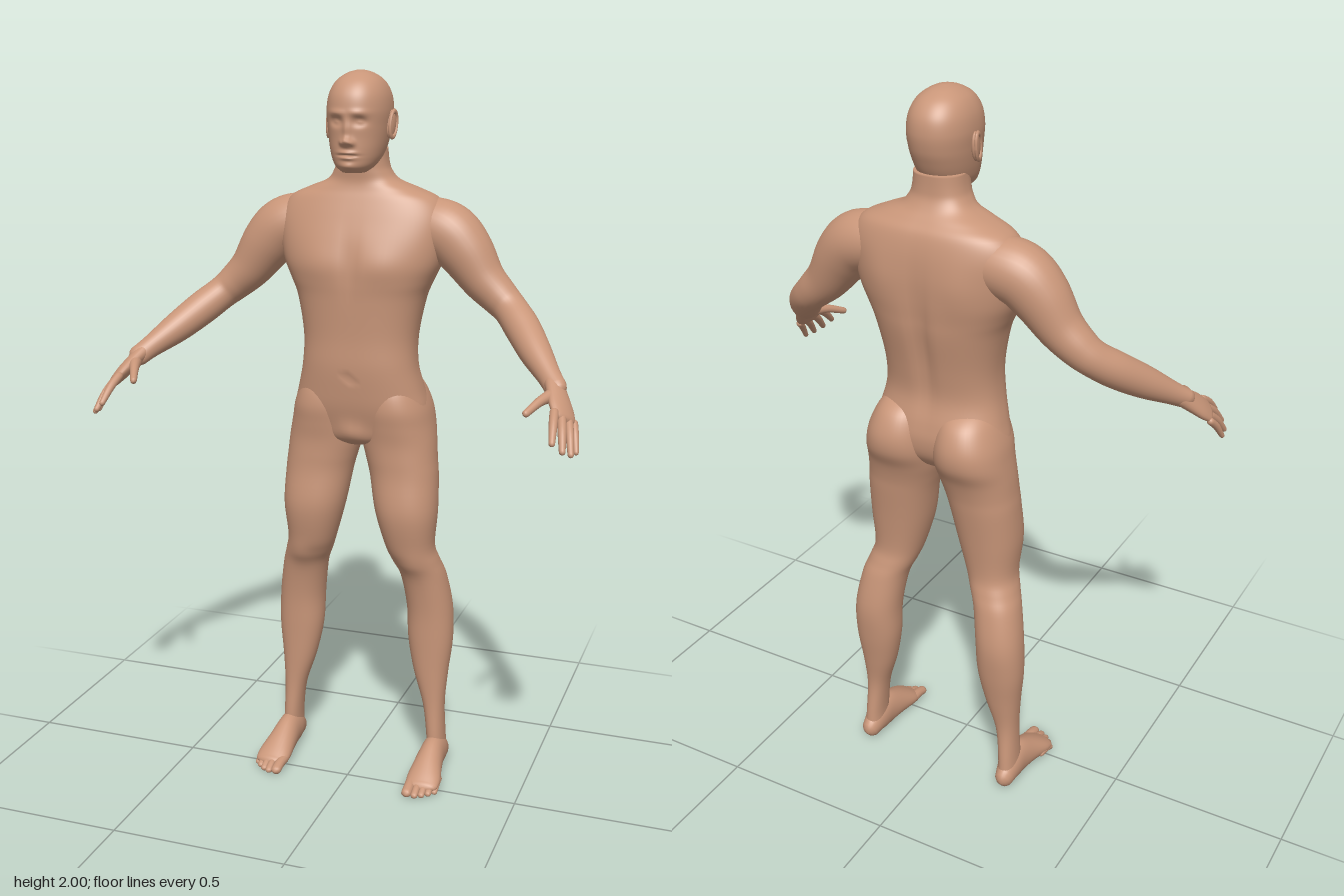
import * as THREE from 'three';

const skin = new THREE.MeshStandardMaterial({ color: 0xc99679 });
skin.name = 'skin';

// Catmull-Rom interpolation of whole rows of numbers
function refine(rows, steps) {
  const out = [], last = rows.length - 1;
  const at = i => rows[Math.min(last, Math.max(0, i))];
  for (let i = 0; i < last; i++) {
    for (let k = 0; k < steps; k++) {
      const t = k / steps, [a, b, c, d] = [at(i - 1), at(i), at(i + 1), at(i + 2)];
      out.push(b.map((v, j) => v + 0.5 * t * (c[j] - a[j] + t * (2 * a[j] - 5 * v + 4 * c[j] - d[j]
        + t * (3 * (v - c[j]) + d[j] - a[j])))));
    }
  }
  out.push(rows[last]);
  return out;
}

// Closed skin over rings of equal point count, with both ends pulled to a point
function skinRings(rings) {
  const n = rings[0].length, pos = [], idx = [];
  const middle = r => {
    const m = new THREE.Vector3();
    r.forEach(p => m.addScaledVector(p, 1 / n));
    return r.map(() => m);
  };
  const all = [middle(rings[0]), ...rings, middle(rings[rings.length - 1])];
  all.forEach(r => r.forEach(p => pos.push(p.x, p.y, p.z)));
  for (let i = 0; i < all.length - 1; i++) {
    for (let j = 0; j < n; j++) {
      const a = i * n + j, b = i * n + (j + 1) % n;
      if (i > 0) idx.push(a, b, a + n);
      if (i < all.length - 2) idx.push(b, b + n, a + n);
      else if (i === 0) idx.push(b, b + n, a + n);
    }
  }
  const g = new THREE.BufferGeometry();
  g.setAttribute('position', new THREE.Float32BufferAttribute(pos, 3));
  g.setIndex(idx);
  g.computeVertexNormals();
  return g;
}

// Level slices from top to bottom: [y, centre x, half width, front z, back z]
// Bumps: [x, y, spread x, spread y, height, side], side 1 = front, -1 = back
function column(slices, { n = 48, steps = 5, power = 2.2, bumps = [] } = {}) {
  const bend = v => Math.sign(v) * Math.pow(Math.abs(v), 2 / power);
  return skinRings(refine(slices, steps).map(([y, cx, rx, zf, zb]) =>
    Array.from({ length: n }, (_, j) => {
      const t = j / n * Math.PI * 2, s = Math.sin(t);
      const x = cx + rx * bend(Math.cos(t));
      let z = (zf + zb) / 2 + (zf - zb) / 2 * bend(s);
      for (const [bx, by, sx, sy, h, side] of bumps) {
        const w = Math.sqrt(Math.max(0, s * side));
        z += side * h * w * Math.exp(-(((Math.abs(x) - bx) / sx) ** 2) - ((y - by) / sy) ** 2);
      }
      return new THREE.Vector3(x, y, z);
    })));
}

// Rounded limb along a path: [x, y, z, half width along side, half thickness]
function sweep(points, side, { n = 20, steps = 4, floor = -1 } = {}) {
  const rows = refine(points, steps), P = rows.map(r => new THREE.Vector3(r[0], r[1], r[2]));
  const rings = [];
  const ring = (i, shift, scale) => {
    const T = P[Math.min(P.length - 1, i + 1)].clone().sub(P[Math.max(0, i - 1)]).normalize();
    const N = side.clone().addScaledVector(T, -side.dot(T)).normalize();
    const B = T.clone().cross(N), [, , , a, b] = rows[i];
    rings.push(Array.from({ length: n }, (_, j) => {
      const t = j / n * Math.PI * 2;
      const p = P[i].clone().addScaledVector(T, shift * Math.min(a, b))
        .addScaledVector(N, Math.cos(t) * a * scale).addScaledVector(B, Math.sin(t) * b * scale);
      p.y = Math.max(p.y, floor);
      return p;
    }));
  };
  const caps = [80, 55, 28].map(d => d * Math.PI / 180);
  caps.forEach(c => ring(0, -Math.sin(c), Math.cos(c)));
  rows.forEach((_, i) => ring(i, 0, 1));
  caps.reverse().forEach(c => ring(rows.length - 1, Math.sin(c), Math.cos(c)));
  return skinRings(rings);
}

function mirrored(geometry) {
  const g = geometry.clone().scale(-1, 1, 1), a = g.index.array;
  for (let i = 0; i < a.length; i += 3) [a[i], a[i + 1]] = [a[i + 1], a[i]];
  g.computeVertexNormals();
  return g;
}

export function createModel() {
  const model = new THREE.Group();
  model.name = 'figure';
  const add = (name, g) => {
    const m = new THREE.Mesh(g, skin);
    m.name = name;
    model.add(m);
  };
  const pair = (name, g) => {
    add('left' + name, g);
    add('right' + name, mirrored(g));
  };
  const V = (x, y, z) => new THREE.Vector3(x, y, z);

  // Head with modelled face
  add('head', column([
    [2.0, 0, 0.008, -0.095, -0.115], [1.992, 0, 0.034, -0.06, -0.15], [1.972, 0, 0.061, -0.024, -0.186],
    [1.94, 0, 0.078, 0, -0.21], [1.9, 0, 0.084, 0.008, -0.217], [1.86, 0, 0.081, 0.006, -0.211],
    [1.83, 0, 0.077, 0.004, -0.2], [1.8, 0, 0.071, 0.004, -0.185], [1.775, 0, 0.063, 0.002, -0.165],
    [1.755, 0, 0.05, -0.003, -0.13], [1.74, 0, 0.03, -0.02, -0.09],
  ], {
    n: 112, steps: 9, bumps: [
      [0, 1.822, 0.013, 0.012, 0.018, 1], [0, 1.85, 0.01, 0.025, 0.009, 1], // nose
      [0.014, 1.818, 0.007, 0.007, 0.008, 1],
      [0.032, 1.872, 0.017, 0.011, -0.013, 1], [0.032, 1.871, 0.01, 0.006, 0.007, 1], // eyes
      [0.03, 1.894, 0.025, 0.008, 0.005, 1],
      [0, 1.793, 0.022, 0.005, 0.007, 1], [0, 1.779, 0.019, 0.005, 0.006, 1], // lips
      [0, 1.786, 0.024, 0.0025, -0.006, 1], [0, 1.757, 0.02, 0.011, 0.007, 1],
    ],
  }));

  // Ears
  const ear = new THREE.SphereGeometry(1, 20, 14).scale(0.009, 0.038, 0.022);
  const rim = new THREE.TorusGeometry(0.024, 0.005, 8, 24).scale(0.75, 1.4, 1).rotateY(Math.PI / 2).translate(0.006, 0, 0);
  for (const [name, g] of [['Ear', ear], ['EarRim', rim]]) {
    pair(name, g.rotateX(-0.2).rotateY(-0.2).translate(0.084, 1.862, -0.108));
  }

  // Neck, chest, waist and hips
  add('torso', column([
    [1.8, 0, 0.066, -0.06, -0.19], [1.765, 0, 0.07, -0.062, -0.19], [1.74, 0, 0.078, -0.064, -0.193],
    [1.715, 0, 0.1, -0.066, -0.206], [1.693, 0, 0.155, -0.062, -0.224], [1.667, 0, 0.208, -0.052, -0.243],
    [1.62, 0, 0.234, -0.034, -0.255], [1.56, 0, 0.232, -0.013, -0.26], [1.5, 0, 0.22, -0.001, -0.259],
    [1.45, 0, 0.198, 0.002, -0.255], [1.4, 0, 0.178, 0, -0.249], [1.3, 0, 0.16, -0.005, -0.228],
    [1.22, 0, 0.162, -0.005, -0.218], [1.15, 0, 0.178, -0.012, -0.232], [1.1, 0, 0.191, -0.02, -0.237],
    [1.05, 0, 0.19, -0.034, -0.225], [1.01, 0, 0.12, -0.045, -0.19], [0.99, 0, 0.04, -0.07, -0.15],
  ], {
    n: 80, power: 2.4, bumps: [
      [0.085, 1.5, 0.065, 0.05, 0.008, 1], [0, 1.5, 0.016, 0.08, -0.006, 1], // chest
      [0, 1.19, 0.008, 0.008, -0.008, 1], [0, 1.03, 0.035, 0.03, 0.012, 1],
      [0, 1.38, 0.024, 0.17, -0.016, -1], [0.11, 1.54, 0.05, 0.07, 0.006, -1], // back
    ],
  }));

  // Legs with buttocks, knees and calves
  pair('Leg', column([
    [1.2, 0.09, 0.04, -0.09, -0.17], [1.18, 0.092, 0.062, -0.05, -0.215], [1.15, 0.095, 0.079, -0.03, -0.246],
    [1.1, 0.1, 0.094, -0.022, -0.265], [1.05, 0.103, 0.101, -0.028, -0.262], [1.0, 0.108, 0.104, -0.035, -0.238],
    [0.95, 0.117, 0.1, -0.036, -0.223], [0.9, 0.126, 0.096, -0.035, -0.215], [0.8, 0.137, 0.088, -0.026, -0.2],
    [0.7, 0.147, 0.07, -0.045, -0.19], [0.65, 0.162, 0.067, -0.063, -0.2], [0.6, 0.18, 0.065, -0.083, -0.215],
    [0.5, 0.196, 0.066, -0.1, -0.23], [0.4, 0.2, 0.065, -0.105, -0.222], [0.3, 0.205, 0.05, -0.108, -0.205],
    [0.2, 0.217, 0.031, -0.11, -0.19], [0.1, 0.225, 0.026, -0.106, -0.196], [0.04, 0.227, 0.028, -0.11, -0.2],
  ], { bumps: [[0.165, 0.645, 0.03, 0.035, 0.006, 1]] }));

  // Feet and toes
  pair('Foot', sweep([
    [0.228, 0.036, -0.185, 0.027, 0.034], [0.227, 0.05, -0.15, 0.033, 0.05], [0.227, 0.053, -0.11, 0.035, 0.054],
    [0.228, 0.043, -0.06, 0.041, 0.043], [0.231, 0.027, -0.005, 0.049, 0.028], [0.233, 0.019, 0.025, 0.046, 0.017],
  ], V(1, 0, 0), { n: 28, floor: 0 }));
  [[0.2, 0.064, 0.015], [0.223, 0.065, 0.0105], [0.241, 0.056, 0.01], [0.257, 0.042, 0.01], [0.271, 0.026, 0.0095]]
    .forEach(([x, z, r], i) => pair('Toe' + (i + 1), sweep([
      [x - 0.002, 0.022, z - 0.055, r, r], [x, 0.019, z - 0.025, r, r * 0.9], [x, r * 0.85, z, r, r * 0.85],
    ], V(1, 0, 0), { n: 12, floor: 0 })));

  // Arms from shoulder to wrist
  pair('Arm', sweep([
    [0.12, 1.6, -0.16, 0.07, 0.07], [0.19, 1.592, -0.154, 0.08, 0.078], [0.24, 1.575, -0.149, 0.081, 0.079],
    [0.285, 1.53, -0.144, 0.075, 0.073], [0.335, 1.462, -0.139, 0.06, 0.06], [0.382, 1.417, -0.133, 0.051, 0.052],
    [0.418, 1.386, -0.118, 0.046, 0.047], [0.46, 1.348, -0.075, 0.047, 0.047], [0.51, 1.3, -0.01, 0.042, 0.042],
    [0.56, 1.255, 0.053, 0.031, 0.03], [0.585, 1.232, 0.085, 0.029, 0.024],
  ], V(0.7, 0.7, -0.2), { n: 32, steps: 6 }));

  // Hands: palm, four fingers and thumb
  const across = V(-0.045, 0.035, 0.05);
  pair('Palm', sweep([
    [0.575, 1.243, 0.07, 0.027, 0.022], [0.592, 1.22, 0.1, 0.034, 0.02],
    [0.609, 1.195, 0.132, 0.04, 0.018], [0.622, 1.175, 0.156, 0.038, 0.014],
  ], across, { n: 24 }));
  [
    [[0.6, 1.193, 0.175], [0.612, 1.134, 0.252], 0.0105],
    [[0.618, 1.177, 0.168], [0.636, 1.112, 0.24], 0.0105],
    [[0.633, 1.165, 0.152], [0.653, 1.1, 0.217], 0.01],
    [[0.643, 1.158, 0.133], [0.66, 1.098, 0.184], 0.009],
    [[0.585, 1.222, 0.105], [0.537, 1.193, 0.21], 0.012],
  ].forEach(([a, b, r], i) => {
    const bend = a.map((v, k) => (v + b[k]) / 2 + (k === 1 ? 0.006 : 0));
    const root = i === 4 ? 0.019 : r * 1.1;
    pair(i === 4 ? 'Thumb' : 'Finger' + (i + 1),
      sweep([[...a, root, root], [...bend, r * 1.05, r * 1.05], [...b, r * 0.8, r * 0.75]], across, { n: 14 }));
  });

  return model;
}
